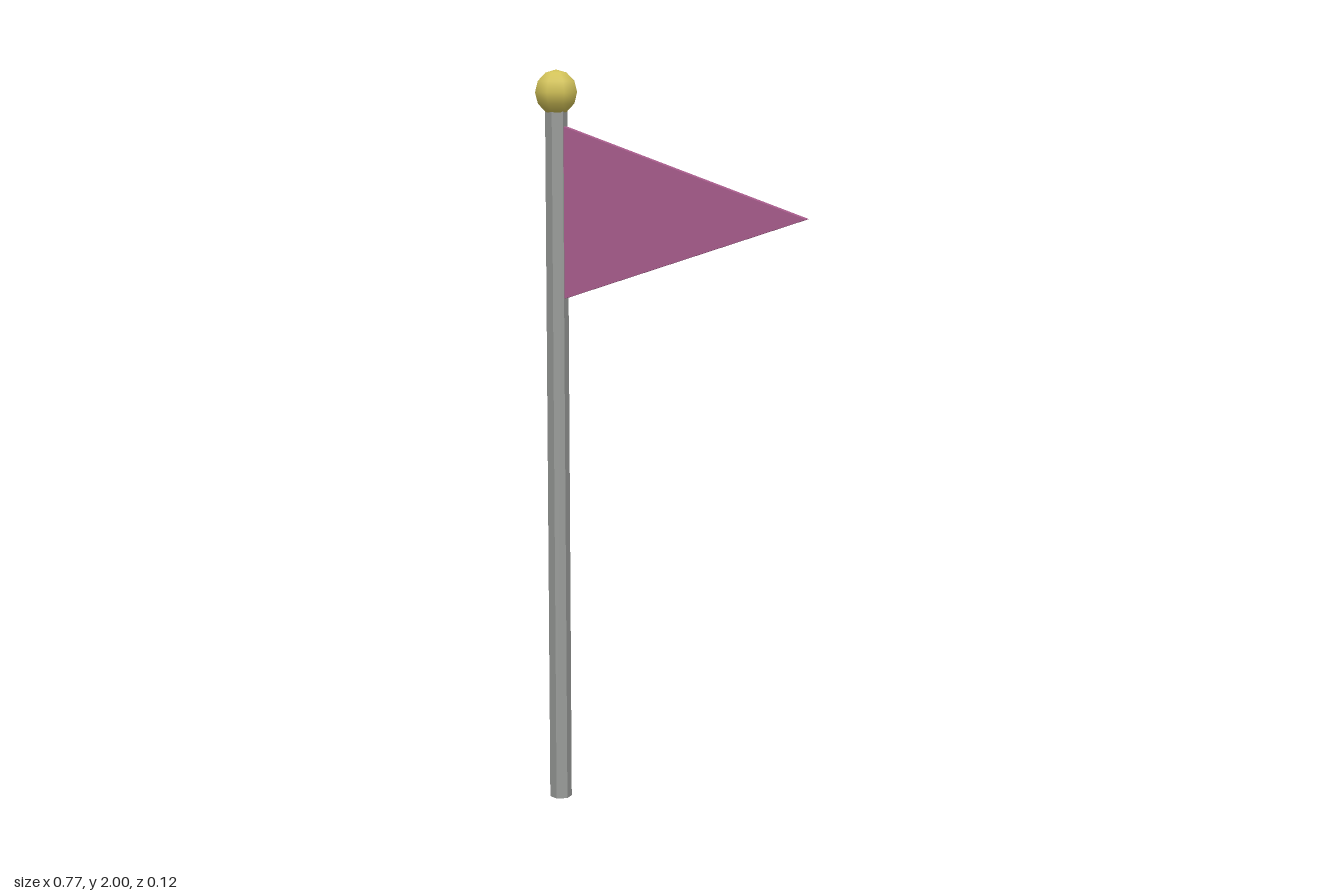
import * as THREE from 'three';

export function createModel() {
  const group = new THREE.Group();
  const poleX = -0.324;

  const poleGrey = new THREE.MeshStandardMaterial({ color: 0x999b99, flatShading: true });
  poleGrey.name = 'poleGrey';
  const gold = new THREE.MeshStandardMaterial({ color: 0xd2c258 });
  gold.name = 'gold';
  const flagPurple = new THREE.MeshStandardMaterial({ color: 0xa85c8c, flatShading: true });
  flagPurple.name = 'flagPurple';

  const add = (name, geometry, material, x, y, z = 0) => {
    const mesh = new THREE.Mesh(geometry, material);
    mesh.name = name;
    mesh.position.set(x, y, z);
    group.add(mesh);
  };

  // Six-sided pole standing on the ground
  const poleHeight = 1.92;
  add('pole', new THREE.CylinderGeometry(0.03, 0.03, poleHeight, 6), poleGrey, poleX, poleHeight / 2);

  // Ball on top of the pole
  add('finial', new THREE.SphereGeometry(0.06, 8, 6), gold, poleX, 1.94);

  // Triangular pennant attached to the pole's flat side
  const pennant = new THREE.Shape([
    new THREE.Vector2(-0.3, 1.39),
    new THREE.Vector2(0.384, 1.62),
    new THREE.Vector2(-0.3, 1.85),
  ]);
  const thickness = 0.024;
  const cloth = new THREE.ExtrudeGeometry(pennant, { depth: thickness, bevelEnabled: false });
  add('pennant', cloth, flagPurple, 0, 0, -thickness / 2);

  return group;
}
